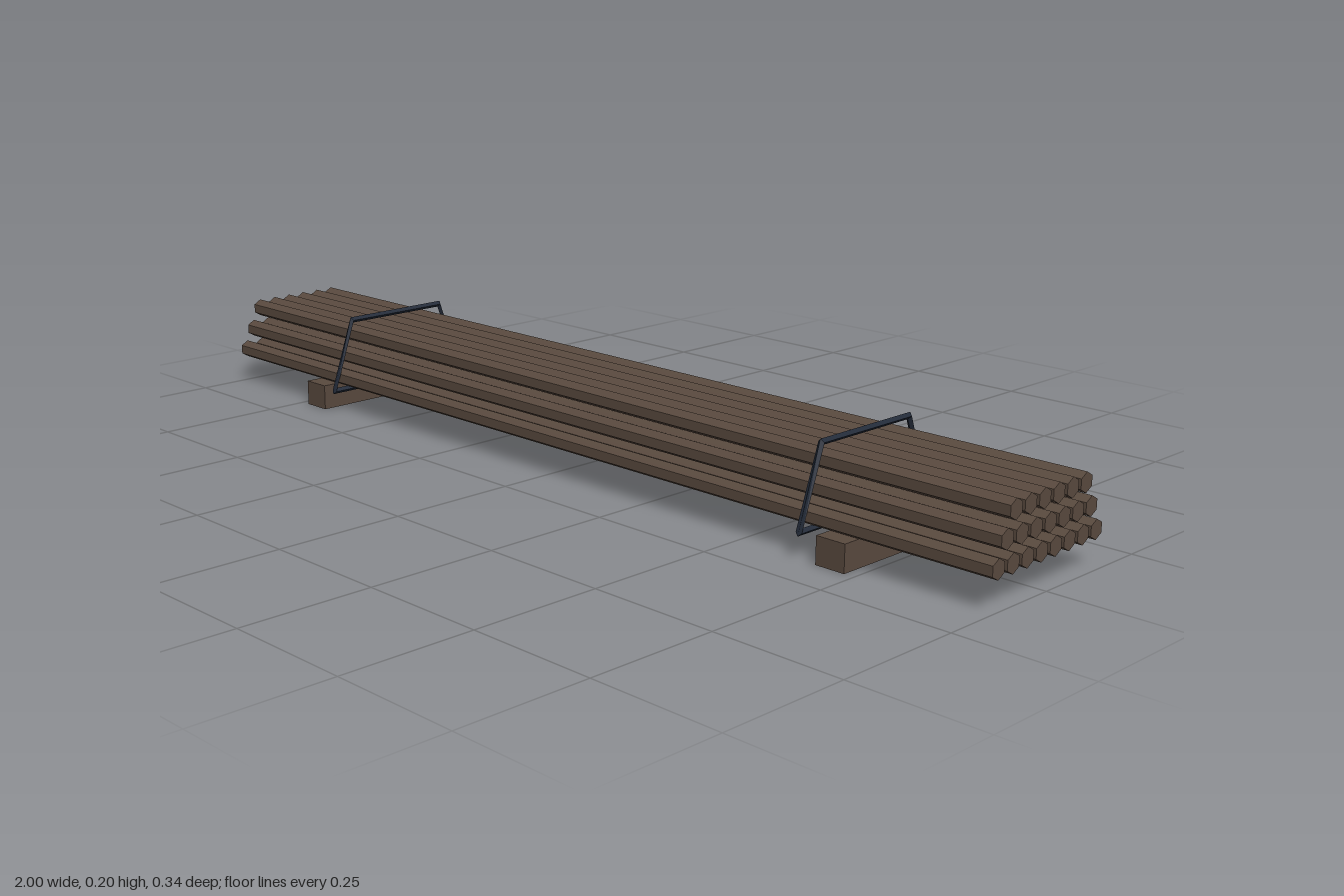
import * as THREE from 'three';

export function createModel() {
  const model = new THREE.Group();
  model.name = 'rodBundle';
  const wood = new THREE.MeshStandardMaterial({ color: 0x5a4a3f, flatShading: true });
  wood.name = 'brown';
  const steel = new THREE.MeshStandardMaterial({ color: 0x222a38, flatShading: true });
  steel.name = 'darkBlue';

  const add = (geometry, material, name, x, y, z) => {
    const mesh = new THREE.Mesh(geometry, material);
    mesh.name = name;
    mesh.position.set(x, y, z);
    model.add(mesh);
  };

  // Hexagonal rods, corner up, stacked in rows of 8, 7 and 6
  const rod = new THREE.CylinderGeometry(0.018, 0.018, 2, 6).rotateY(Math.PI / 2).rotateZ(-Math.PI / 2);
  for (let row = 0; row < 3; row++) {
    const count = 8 - row;
    for (let i = 0; i < count; i++) {
      add(rod, wood, 'rod', 0, 0.0705 + row * 0.0437, (i - (count - 1) / 2) * 0.0385);
    }
  }

  // Support beams and straps at both ends
  const beam = new THREE.BoxGeometry(0.06, 0.051, 0.334);
  const strap = strapGeometry();
  for (const side of [-1, 1]) {
    add(beam, wood, 'supportBeam', side * 0.7, 0.0255, 0);
    add(strap, steel, 'strap', side * 0.634, 0, 0);
  }
  return model;
}

// Closed trapezoid loop with a four-sided section at each corner
function strapGeometry() {
  const corners = [[0.1675, 0.0465], [0.1165, 0.191], [-0.1165, 0.191], [-0.1675, 0.0465]];
  const radius = 0.0067, sides = 4;
  const positions = [], index = [];
  corners.forEach(([z, y], i) => {
    // Section lies across the line joining the neighbouring corners
    const a = corners[(i + 3) % 4], b = corners[(i + 1) % 4];
    const out = new THREE.Vector2(b[1] - a[1], a[0] - b[0]).normalize();
    for (let j = 0; j < sides; j++) {
      const t = (j / sides) * Math.PI * 2;
      const r = Math.cos(t) * radius;
      positions.push(Math.sin(t) * radius, y + out.y * r, z + out.x * r);
      const p = i * sides + j, q = i * sides + (j + 1) % sides;
      const n = ((i + 1) % 4) * sides;
      const p2 = n + j, q2 = n + (j + 1) % sides;
      index.push(p, p2, q, q, p2, q2);
    }
  });
  const geometry = new THREE.BufferGeometry();
  geometry.setAttribute('position', new THREE.Float32BufferAttribute(positions, 3));
  geometry.setIndex(index);
  // Make sure the faces look outward
  const at = (k) => new THREE.Vector3().fromArray(positions, k * 3);
  const [p, p2, q] = index.slice(sides * 6, sides * 6 + 3).map(at);
  const normal = p2.clone().sub(p).cross(q.clone().sub(p));
  if (normal.y < 0) geometry.setIndex(index.slice().reverse());
  geometry.computeVertexNormals();
  return geometry;
}
